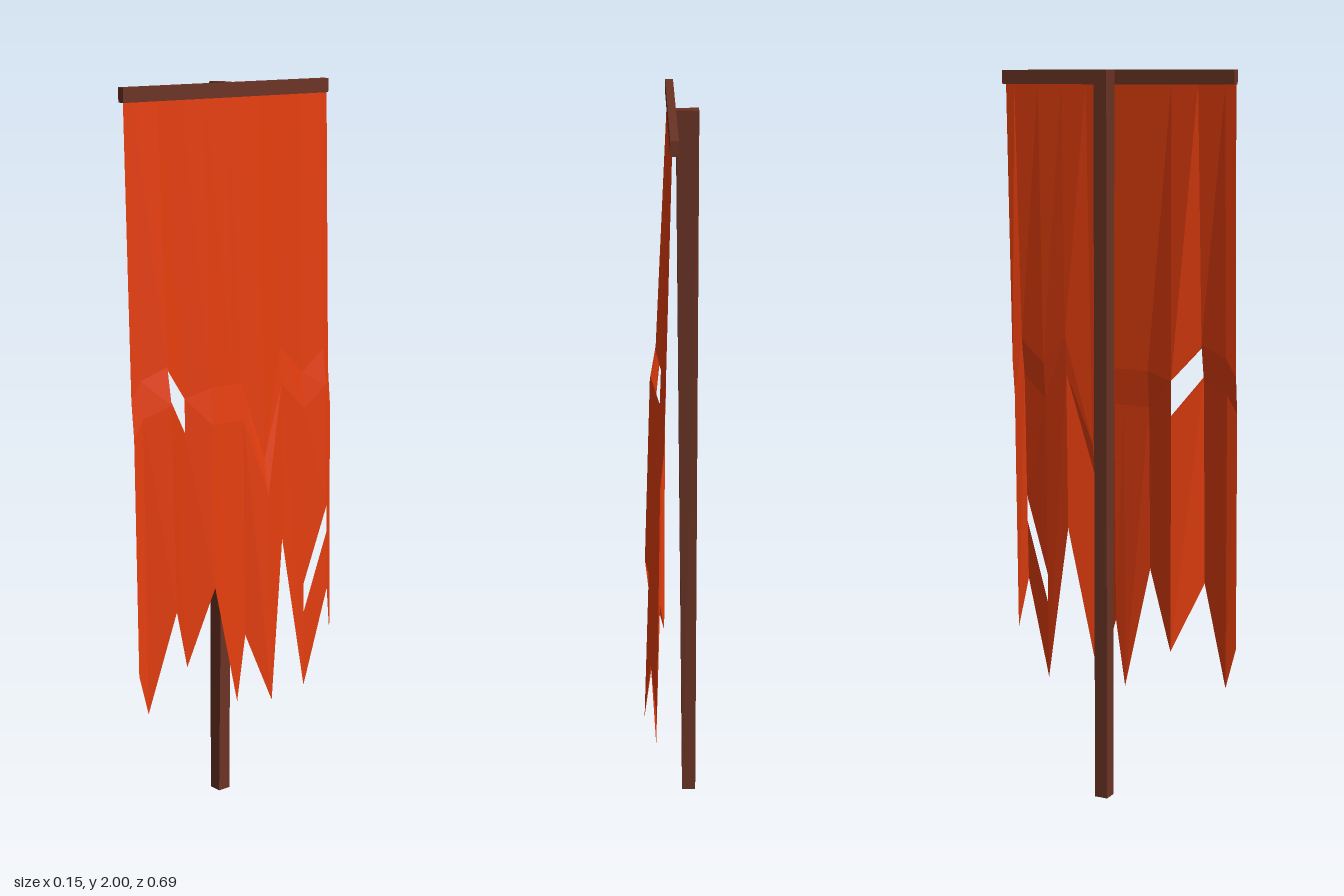
import * as THREE from 'three';

const wood = new THREE.MeshStandardMaterial({ color: 0x6b3324, flatShading: true });
const fabric = new THREE.MeshStandardMaterial({ color: 0xe63e0e, flatShading: true, side: THREE.DoubleSide });

// Fold columns of the cloth: z, outward swing at the hem, hem height, crease height
const columns = [
  [0.343, 0.04, 0.45, 1.2],
  [0.313, 0.04, 0.335, 1.25],
  [0.235, 0.067, 0.615, 1.28],
  [0.158, 0.012, 0.425, 1.18],
  [0.081, 0.04, 0.645, 1.2],
  [0.003, 0.04, 0.295, 1.2],
  [-0.026, 0.04, 0.485, 1.2],
  [-0.097, 0.072, 0.285, 0.98],
  [-0.171, 0.027, 0.735, 1.28],
  [-0.244, 0.041, 0.285, 1.2],
  [-0.317, 0.055, 0.567, 1.26],
  [-0.343, 0.04, 0.42, 1.2],
];
const TOP = 1.965;

// Point on a fold column: straight to the crease, a short kick out, then down to the hem
function point([z, swing, hem, crease], y) {
  const kick = crease - 0.1;
  let f;
  if (y >= crease) f = 0.5 * (TOP - y) / (TOP - crease);
  else if (y >= kick) f = 0.5 + 0.25 * (crease - y) / 0.1;
  else f = 0.75 + 0.25 * (kick - y) / (kick - hem);
  return [swing * f, y, z];
}

// Tears: strip index -> upper edge and lower edge heights on both sides
const tears = {
  2: { upper: [1.27, 1.18], lower: [1.19, 1.085] },
  9: { upper: [0.59, 0.81], lower: [0.505, 0.735] },
};

function makeCloth() {
  const pos = [];
  for (let i = 0; i < columns.length - 1; i++) {
    const a = columns[i], b = columns[i + 1];
    const rows = [[TOP, TOP], [a[3], b[3]], [a[3] - 0.1, b[3] - 0.1], [a[2], b[2]]];
    const tear = tears[i];
    if (tear) rows.push(tear.upper, tear.lower);
    rows.sort((p, q) => q[0] + q[1] - p[0] - p[1]);
    for (let r = 0; r < rows.length - 1; r++) {
      const [t, u] = [rows[r], rows[r + 1]];
      // Leave the gap between the two edges of a tear open
      if (tear && t[0] + t[1] <= tear.upper[0] + tear.upper[1] && u[0] + u[1] >= tear.lower[0] + tear.lower[1]) continue;
      const p = point(a, t[0]), q = point(a, u[0]), s = point(b, u[1]), v = point(b, t[1]);
      pos.push(...p, ...q, ...s, ...p, ...s, ...v);
    }
  }
  const g = new THREE.BufferGeometry();
  g.setAttribute('position', new THREE.Float32BufferAttribute(pos, 3));
  g.computeVertexNormals();
  return g;
}

// Square post whose front face leans out and narrows to meet the crossbar
function makePole() {
  const g = new THREE.BoxGeometry(0.038, 2, 0.038);
  g.translate(-0.056, 1, -0.013);
  const p = g.attributes.position;
  for (let i = 0; i < p.count; i++) {
    if (p.getY(i) > 1 && p.getX(i) > -0.05) {
      p.setX(i, -0.016);
      p.setZ(i, -0.013 + Math.sign(p.getZ(i) + 0.013) * 0.012);
    }
  }
  g.computeVertexNormals();
  return g;
}

export function createModel() {
  const group = new THREE.Group();
  group.name = 'tatteredBanner';
  const add = (name, geometry, material) => {
    const mesh = new THREE.Mesh(geometry, material);
    mesh.name = name;
    group.add(mesh);
    return mesh;
  };
  add('pole', makePole(), wood);
  add('crossbar', new THREE.BoxGeometry(0.021, 0.038, 0.69), wood).position.set(-0.006, 1.981, 0);
  add('cloth', makeCloth(), fabric);
  return group;
}
